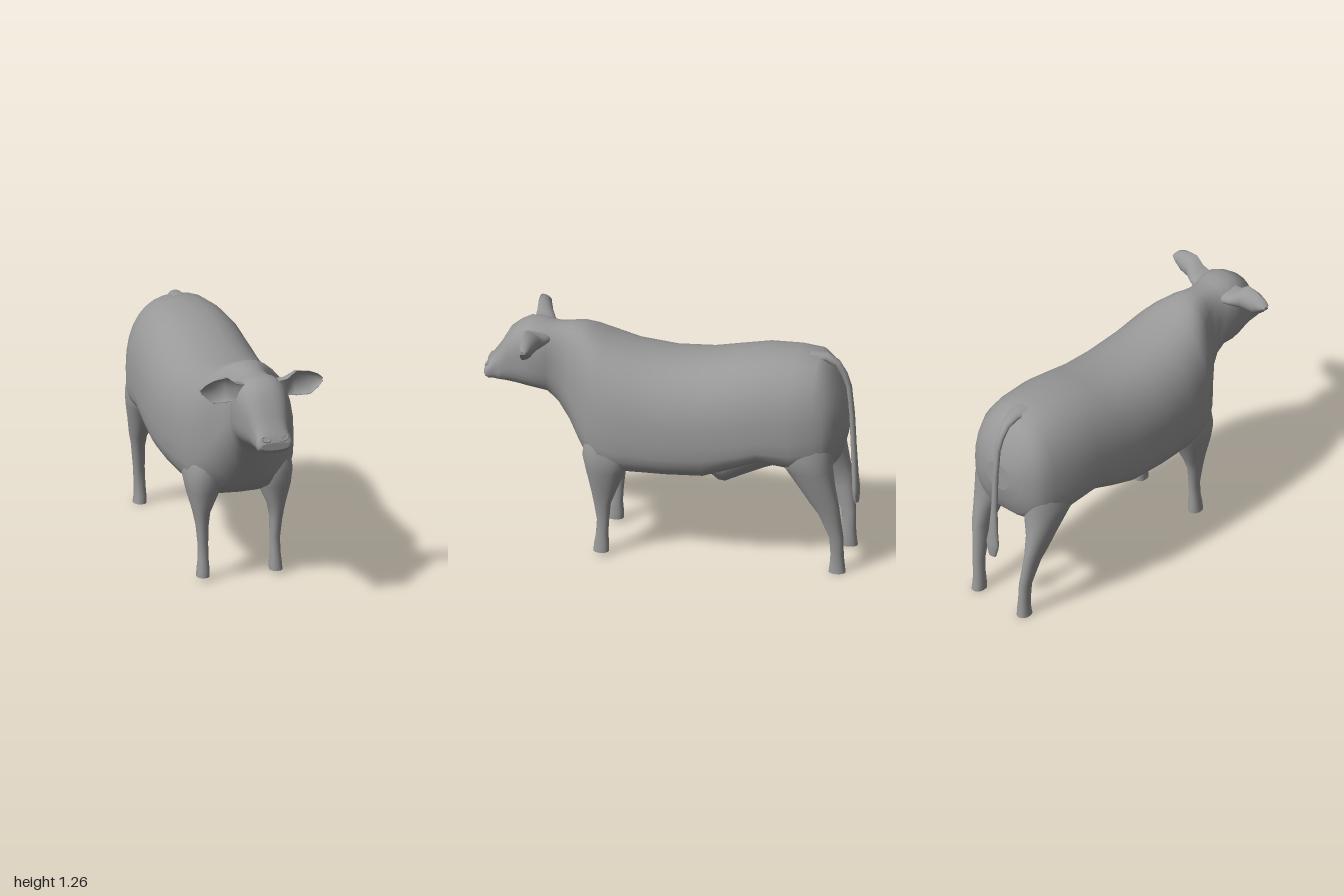
import * as THREE from 'three';

const material = new THREE.MeshStandardMaterial({ color: 0x999999, side: THREE.DoubleSide });
const SIDES = 32;

// Skin a row of closed rings; the end caps get their own rim so it stays sharp.
function loft(rings) {
  const pos = [], index = [], n = rings[0].length;
  rings.forEach(r => r.forEach(p => pos.push(...p)));
  for (let i = 0; i < rings.length - 1; i++) {
    for (let j = 0; j < n; j++) {
      const k = (j + 1) % n, a = i * n + j, b = i * n + k;
      index.push(a, b, a + n, b, b + n, a + n);
    }
  }
  [[rings[0], true], [rings[rings.length - 1], false]].forEach(([r, first]) => {
    const base = pos.length / 3;
    r.forEach(p => pos.push(...p));
    pos.push(...[0, 1, 2].map(c => r.reduce((s, p) => s + p[c], 0) / n));
    for (let j = 0; j < n; j++) {
      const k = (j + 1) % n;
      if (first) index.push(base + n, base + k, base + j);
      else index.push(base + n, base + j, base + k);
    }
  });
  const g = new THREE.BufferGeometry();
  g.setAttribute('position', new THREE.Float32BufferAttribute(pos, 3));
  g.setIndex(index);
  g.computeVertexNormals();
  return g;
}

// Sample one ring from a function of (cos, sin), squared off by one exponent
// for its upper half and another for its lower half.
function ring(upper, fn, lower = upper) {
  return Array.from({ length: SIDES }, (_, i) => {
    const t = (i / SIDES) * Math.PI * 2, e = i < SIDES / 2 ? upper : lower;
    const pow = v => Math.sign(v) * Math.pow(Math.abs(v), 2 / e);
    return fn(pow(Math.cos(t)), pow(Math.sin(t)));
  });
}

// Rows along z: [z, top, bottom, height of widest point, half width, lower squareness]
const alongZ = (rows, upper) => loft(rows.map(([z, top, bottom, mid, w, lower]) =>
  ring(upper, (c, s) => [c * w, mid + s * (s > 0 ? top - mid : mid - bottom), z], lower)));

// Rows downwards: [y, inner x, outer x, back z, front z]
const downY = rows => loft(rows.map(([y, x0, x1, z0, z1]) =>
  ring(2.2, (c, s) => [(x0 + x1) / 2 + c * (x1 - x0) / 2, y, (z0 + z1) / 2 + s * (z1 - z0) / 2])));

// Mirror across x, turning the faces back outwards.
function mirror(geometry) {
  const g = geometry.clone().scale(-1, 1, 1), a = g.index.array;
  for (let i = 0; i < a.length; i += 3) [a[i + 1], a[i + 2]] = [a[i + 2], a[i + 1]];
  g.computeVertexNormals();
  return g;
}

export function createModel() {
  const cow = new THREE.Group();
  cow.name = 'cow';
  const add = (name, geometry) => {
    const mesh = new THREE.Mesh(geometry, material);
    mesh.name = name;
    cow.add(mesh);
  };
  const addPair = (name, geometry) => {
    add(name + 'Left', geometry);
    add(name + 'Right', mirror(geometry));
  };

  // Rump, barrel and shoulders
  const trunk = [
    [-0.94, 0.92, 0.76, 0.84, 0.08, 2.3],
    [-0.925, 0.99, 0.69, 0.83, 0.15, 2.4],
    [-0.90, 1.05, 0.61, 0.82, 0.20, 2.5],
    [-0.87, 1.10, 0.58, 0.81, 0.235, 2.7],
    [-0.84, 1.145, 0.57, 0.80, 0.256, 2.8],
    [-0.79, 1.19, 0.56, 0.80, 0.278, 2.9],
    [-0.67, 1.20, 0.58, 0.78, 0.31, 3],
    [-0.50, 1.195, 0.61, 0.78, 0.32, 3],
    [-0.35, 1.165, 0.55, 0.75, 0.328, 3],
    [-0.20, 1.135, 0.49, 0.73, 0.33, 2.9],
    [0.00, 1.125, 0.48, 0.72, 0.33, 2.9],
    [0.20, 1.15, 0.475, 0.73, 0.318, 3],
    [0.35, 1.20, 0.47, 0.75, 0.298, 3],
    [0.42, 1.23, 0.50, 0.78, 0.255, 2.8],
    [0.48, 1.25, 0.575, 0.82, 0.20, 2.3],
  ];
  // Neck, skull and muzzle
  const neckAndHead = [
    [0.54, 1.245, 0.68, 0.90, 0.152, 2],
    [0.60, 1.238, 0.78, 0.98, 0.13, 2.2],
    [0.66, 1.238, 0.85, 1.05, 0.138, 2.6],
    [0.71, 1.248, 0.867, 1.06, 0.153, 2.9],
    [0.77, 1.245, 0.875, 1.08, 0.146, 2.9],
    [0.82, 1.22, 0.882, 1.07, 0.13, 2.9],
    [0.87, 1.18, 0.887, 1.04, 0.114, 2.9],
    [0.92, 1.09, 0.892, 0.98, 0.098, 2.9],
    [0.95, 1.045, 0.897, 0.965, 0.093, 2.9],
    [0.975, 1.01, 0.90, 0.95, 0.098, 2.8],
    [0.99, 0.99, 0.91, 0.945, 0.095, 2.6],
    [1.00, 0.965, 0.925, 0.945, 0.078, 2.4],
  ];
  add('bodyAndHead', alongZ([...trunk, ...neckAndHead], 2.35));

  // Nostril rims
  const nostril = new THREE.TorusGeometry(0.018, 0.006, 8, 16);
  nostril.scale(1.2, 0.7, 1).rotateZ(0.35).rotateX(-0.6).translate(0.05, 0.982, 0.988);
  addPair('nostril', nostril);

  // Ears, hollow towards the front: [x, top, bottom, front z, back z, cup]
  addPair('ear', loft([
    [0.08, 1.215, 1.14, 0.755, 0.63, 0],
    [0.14, 1.225, 1.135, 0.757, 0.655, 0],
    [0.19, 1.265, 1.128, 0.758, 0.68, 0.65],
    [0.265, 1.255, 1.128, 0.76, 0.70, 0.7],
    [0.31, 1.235, 1.165, 0.76, 0.712, 0.5],
    [0.335, 1.212, 1.192, 0.757, 0.725, 0.2],
  ].map(([x, top, bottom, zf, zb, cup]) => ring(2, (c, s) => [
    x, (top + bottom) / 2 + c * (top - bottom) / 2,
    zf + (zf - zb) * s * (s < 0 ? 1 : -cup),
  ]))));

  // Legs, from inside the body down to the hoof
  addPair('frontLeg', downY([
    [0.80, 0.12, 0.26, 0.16, 0.38],
    [0.66, 0.09, 0.288, 0.14, 0.44],
    [0.58, 0.085, 0.295, 0.165, 0.448],
    [0.50, 0.105, 0.283, 0.215, 0.43],
    [0.38, 0.16, 0.25, 0.265, 0.40],
    [0.30, 0.17, 0.235, 0.295, 0.385],
    [0.20, 0.17, 0.225, 0.305, 0.37],
    [0.12, 0.17, 0.225, 0.31, 0.375],
    [0.06, 0.165, 0.232, 0.305, 0.385],
    [0.02, 0.165, 0.235, 0.305, 0.388],
  ]));
  addPair('hindLeg', downY([
    [0.95, 0.08, 0.22, -0.84, -0.55],
    [0.80, 0.06, 0.272, -0.885, -0.52],
    [0.68, 0.06, 0.288, -0.89, -0.56],
    [0.60, 0.085, 0.278, -0.89, -0.64],
    [0.50, 0.13, 0.255, -0.905, -0.71],
    [0.40, 0.15, 0.235, -0.925, -0.775],
    [0.34, 0.15, 0.22, -0.93, -0.815],
    [0.20, 0.14, 0.20, -0.945, -0.87],
    [0.10, 0.135, 0.195, -0.945, -0.875],
    [0.04, 0.13, 0.195, -0.95, -0.87],
    [0.00, 0.13, 0.20, -0.955, -0.865],
  ]));

  // Fold of skin under the belly
  add('bellyFold', alongZ([
    [-0.68, 0.66, 0.57, 0.62, 0.08],
    [-0.50, 0.70, 0.505, 0.64, 0.17],
    [-0.38, 0.68, 0.447, 0.60, 0.16],
    [-0.28, 0.64, 0.395, 0.54, 0.115],
    [-0.245, 0.62, 0.40, 0.53, 0.11],
    [-0.20, 0.60, 0.45, 0.53, 0.12],
    [-0.05, 0.58, 0.475, 0.53, 0.10],
  ], 1.65));

  // Tail with a flared tuft: [y, z, half width, half depth]
  const tail = [
    [1.165, -0.74, 0.06, 0.03],
    [1.172, -0.82, 0.035, 0.024],
    [1.14, -0.878, 0.024, 0.02],
    [1.08, -0.917, 0.019, 0.017],
    [1.01, -0.942, 0.017, 0.015],
    [0.85, -0.958, 0.016, 0.015],
    [0.65, -0.967, 0.018, 0.016],
    [0.50, -0.974, 0.028, 0.018],
    [0.42, -0.979, 0.042, 0.02],
    [0.38, -0.98, 0.036, 0.018],
    [0.34, -0.981, 0.024, 0.013],
  ];
  add('tail', loft(tail.map(([y, z, w, d], i) => {
    const a = tail[Math.max(i - 1, 0)], b = tail[Math.min(i + 1, tail.length - 1)];
    const len = Math.hypot(b[0] - a[0], b[1] - a[1]);
    const ty = (b[0] - a[0]) / len, tz = (b[1] - a[1]) / len;
    return ring(2, (c, s) => [c * w, y + s * d * tz, z - s * d * ty]);
  })));

  return cow;
}
